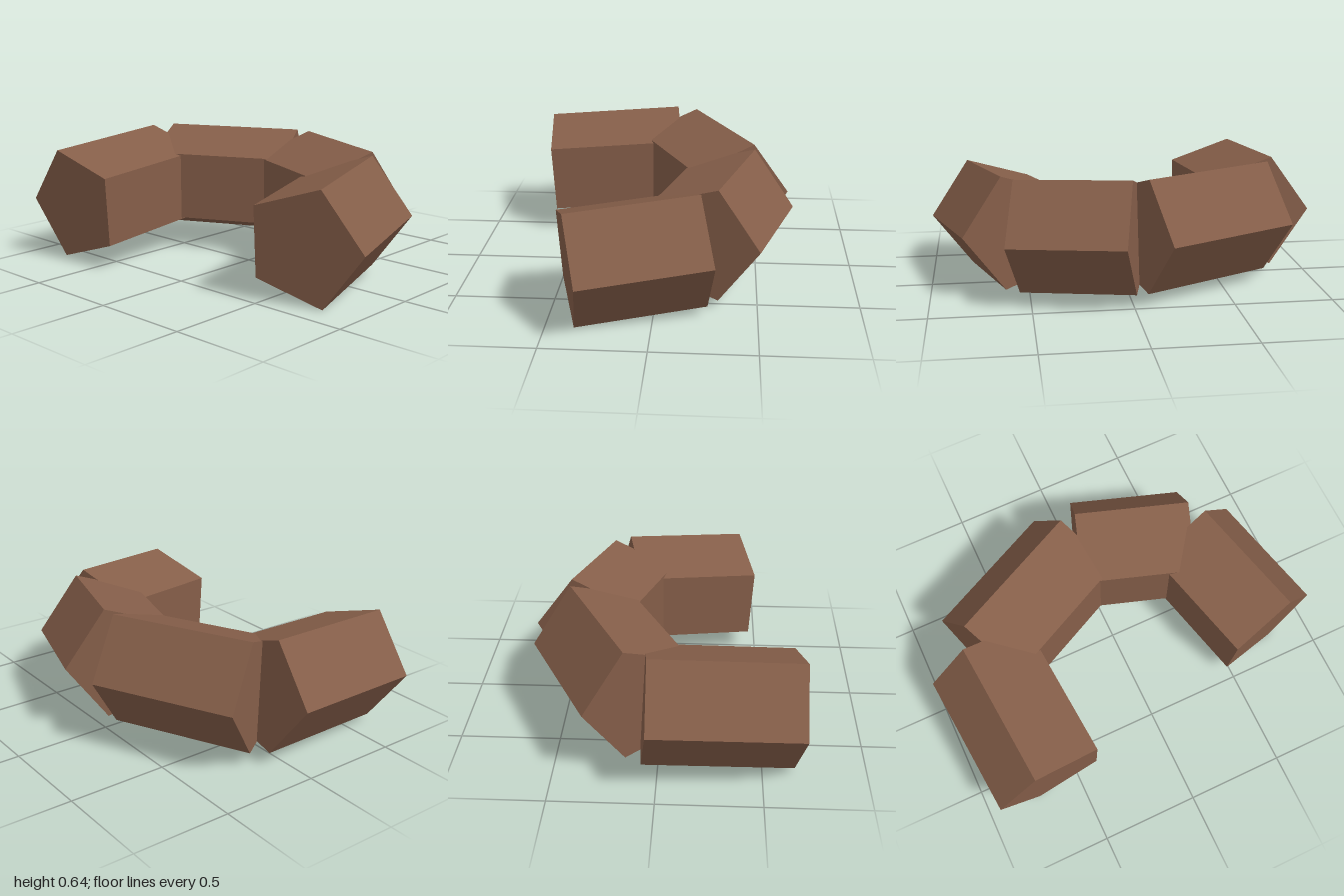
import * as THREE from 'three';

const RADIUS = 0.303;

// Joint centres of the curved chain, from the front tip round to the back tip
const JOINTS = [
  [-0.406, 0.288, 0.707],
  [0.215, 0.332, 0.535],
  [0.393, 0.354, -0.029],
  [0.069, 0.354, -0.695],
  [-0.663, 0.312, -0.632],
].map((p) => new THREE.Vector3(...p));

const NAMES = ['frontTipSegment', 'frontMiddleSegment', 'backMiddleSegment', 'backTipSegment'];

// Five-sided prism between two joints, with one ridge pointing to the outside of the curve
function makeSegment(start, end, material) {
  const axis = end.clone().sub(start);
  const length = axis.length();
  axis.normalize();
  const outward = new THREE.Vector3().crossVectors(axis, new THREE.Vector3(0, 1, 0)).normalize();
  const side = new THREE.Vector3().crossVectors(axis, outward);

  const geometry = new THREE.CylinderGeometry(RADIUS, RADIUS, length, 5).toNonIndexed();
  geometry.computeVertexNormals();
  const mesh = new THREE.Mesh(geometry, material);
  mesh.quaternion.setFromRotationMatrix(new THREE.Matrix4().makeBasis(side, axis, outward));
  mesh.position.copy(start).add(end).multiplyScalar(0.5);
  return mesh;
}

export function createModel() {
  const group = new THREE.Group();
  group.name = 'curvedChain';
  const brown = new THREE.MeshStandardMaterial({ color: 0x855e49, flatShading: true });
  brown.name = 'brown';

  NAMES.forEach((name, i) => {
    const segment = makeSegment(JOINTS[i], JOINTS[i + 1], brown);
    segment.name = name;
    group.add(segment);
  });
  return group;
}
